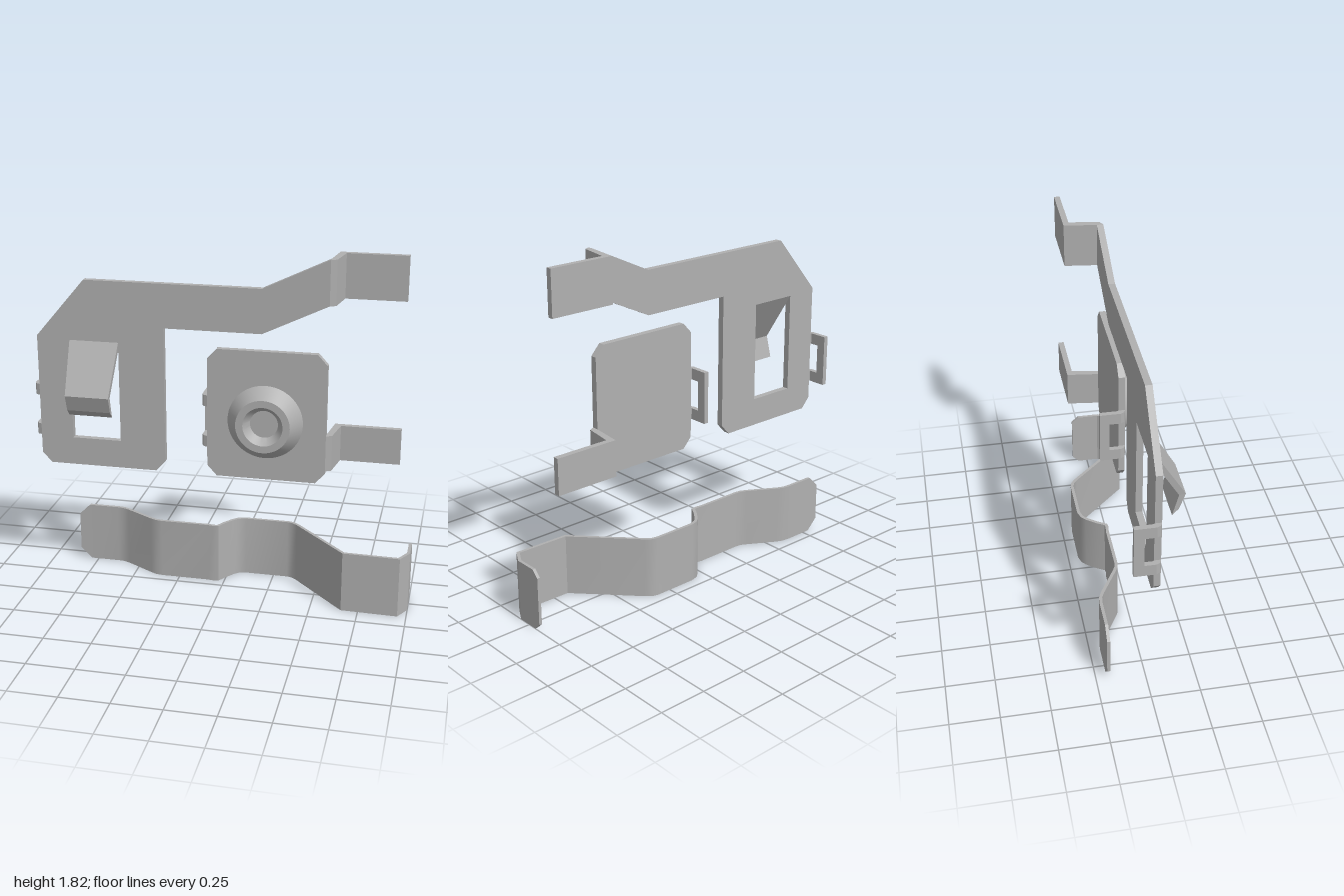
import * as THREE from 'three';
import { toCreasedNormals } from 'three/addons/utils/BufferGeometryUtils.js';

const BACK = 0.003, FRONT = 0.037; // sheet metal faces in z

const polygon = (pts) => new THREE.Shape(pts.map(([x, y]) => new THREE.Vector2(x, y)));
const extrude = (shape, depth) => new THREE.ExtrudeGeometry(shape, { depth, bevelEnabled: false });

// Flat bent strip: path points are [x, z, edge inset], standing between y = 0 and height
function stripGeometry(path, height, thickness) {
  const dir = (a, b) => new THREE.Vector2(b[0] - a[0], b[1] - a[1]).normalize();
  const sections = path.map((p, i) => {
    const d0 = i > 0 ? dir(path[i - 1], p) : dir(p, path[1]);
    const d1 = i < path.length - 1 ? dir(p, path[i + 1]) : d0;
    const d = d0.clone().add(d1).normalize();
    const w = thickness / 2 / d.dot(d0);
    const nx = d.y * w, nz = -d.x * w;
    const lo = p[2] || 0, hi = height - lo;
    return [
      [p[0] + nx, lo, p[1] + nz], [p[0] - nx, lo, p[1] - nz],
      [p[0] - nx, hi, p[1] - nz], [p[0] + nx, hi, p[1] + nz],
    ];
  });
  const pos = [];
  const quad = (a, b, c, d) => pos.push(...a, ...b, ...c, ...a, ...c, ...d);
  for (let i = 0; i < sections.length - 1; i++) {
    const A = sections[i], B = sections[i + 1];
    for (let k = 0; k < 4; k++) quad(A[k], B[k], B[(k + 1) % 4], A[(k + 1) % 4]);
  }
  const S = sections[0], E = sections[sections.length - 1];
  quad(S[0], S[1], S[2], S[3]);
  quad(E[3], E[2], E[1], E[0]);
  const geo = new THREE.BufferGeometry();
  geo.setAttribute('position', new THREE.Float32BufferAttribute(pos, 3));
  return toCreasedNormals(geo, 0.5);
}

export function createModel() {
  const metal = new THREE.MeshStandardMaterial({ color: 0xb0b0b0 });
  metal.name = 'grey metal';
  const model = new THREE.Group();
  model.name = 'batteryContacts';

  const add = (name, geo, parent = model) => {
    const mesh = new THREE.Mesh(geo, metal);
    mesh.name = name;
    parent.add(mesh);
    return mesh;
  };

  // Large plate with window and slanted arm
  const large = polygon([
    [-0.97, 0.71], [-0.92, 0.655], [-0.345, 0.655], [-0.295, 0.71], [-0.295, 1.43], [0.21, 1.43],
    [0.545, 1.59], [0.545, 1.82], [0.21, 1.66], [-0.71, 1.66], [-0.97, 1.355],
  ]);
  large.holes.push(polygon([[-0.795, 0.805], [-0.795, 1.34], [-0.535, 1.34], [-0.535, 0.805]]));
  add('largePlate', extrude(large, FRONT - BACK)).position.z = BACK;

  // Bent spring tongue in the window, narrowing downward; profile is (z, y)
  const tongue = extrude(polygon([
    [BACK, 1.34], [0.158, 1.08], [0.127, 0.965], [0.16, 1.0], [0.19, 1.085], [FRONT, 1.34],
  ]), 0.26);
  tongue.translate(0, 0, -0.13).rotateY(-Math.PI / 2);
  const tp = tongue.attributes.position;
  for (let i = 0; i < tp.count; i++) {
    const t = Math.min(1, (1.34 - tp.getY(i)) / 0.26);
    tp.setX(i, tp.getX(i) * (1 - 0.12 * t));
  }
  tongue.computeVertexNormals();
  add('springTongue', tongue).position.x = -0.665;

  // Small plate with cut corners
  const small = polygon([
    [-0.07, 0.71], [-0.02, 0.655], [0.495, 0.655], [0.545, 0.71],
    [0.545, 1.285], [0.495, 1.34], [-0.02, 1.34], [-0.07, 1.285],
  ]);
  add('smallPlate', extrude(small, FRONT - BACK)).position.z = BACK;

  // Raised round contact with a sunken centre
  const dimple = new THREE.LatheGeometry(
    [[0.195, 0], [0.14, 0.076], [0.103, 0.076], [0.072, 0.03], [0, 0.03]]
      .map(([r, y]) => new THREE.Vector2(r, y)), 48);
  dimple.rotateX(Math.PI / 2);
  add('contactDimple', toCreasedNormals(dimple, 0.5)).position.set(0.232, 0.967, FRONT);

  // Stepped terminals, profile seen from above as (x, -z)
  const terminal = [
    [0.545, FRONT], [0.575, 0.022], [0.6, -0.135], [0.91, -0.135],
    [0.91, -0.165], [0.566, -0.165], [0.545, BACK],
  ].map(([x, z]) => [x, -z]);
  for (const [name, y0, y1] of [['upperTerminal', 1.59, 1.82], ['lowerTerminal', 0.725, 0.915]]) {
    add(name, extrude(polygon(terminal), y1 - y0).rotateX(-Math.PI / 2)).position.y = y0;
  }

  // Folded side loops on the edge of each plate
  for (const [name, edge] of [['largePlateLoop', -0.97], ['smallPlateLoop', -0.07]]) {
    const loop = new THREE.Group();
    loop.name = name;
    const box = (part, x0, x1, y0, y1, z0, z1) =>
      add(part, new THREE.BoxGeometry(x1 - x0, y1 - y0, z1 - z0), loop)
        .position.set((x0 + x1) / 2, (y0 + y1) / 2, (z0 + z1) / 2);
    box('loopBar', edge - 0.03, edge - 0.004, 0.81, 1.09, -0.097, -0.047);
    for (const y of [0.81, 1.03]) {
      box('loopLeg', edge - 0.03, edge - 0.004, y, y + 0.06, -0.047, 0.01);
      // Chamfered fold joining the leg to the plate
      const fold = extrude(polygon([
        [edge - 0.03, -0.01], [edge - 0.02, -0.03], [edge, -FRONT], [edge, -BACK], [edge - 0.004, 0],
      ]), 0.06).rotateX(-Math.PI / 2);
      add('loopFold', fold, loop).position.y = y;
    }
    model.add(loop);
  }

  // Wavy bridging strip with trimmed ends
  add('wavyStrip', stripGeometry([
    [-0.85, -0.187, 0.06], [-0.79, -0.187], [-0.63, -0.187], [-0.595, -0.183], [-0.56, -0.168],
    [-0.41, -0.08], [-0.38, -0.065], [-0.345, -0.06], [-0.09, -0.06], [-0.06, -0.055],
    [-0.035, -0.04 - 0.045 * 0.4], [-0.01, -0.1], [0.03, -0.153], [0.055, -0.175], [0.095, -0.187],
    [0.325, -0.187], [0.355, -0.18], [0.385, -0.156], [0.665, 0.137], [0.95, 0.143],
    [0.992, 0.068], [0.992, -0.05], [0.992, -0.087, 0.035],
  ], 0.325, 0.016));

  return model;
}
